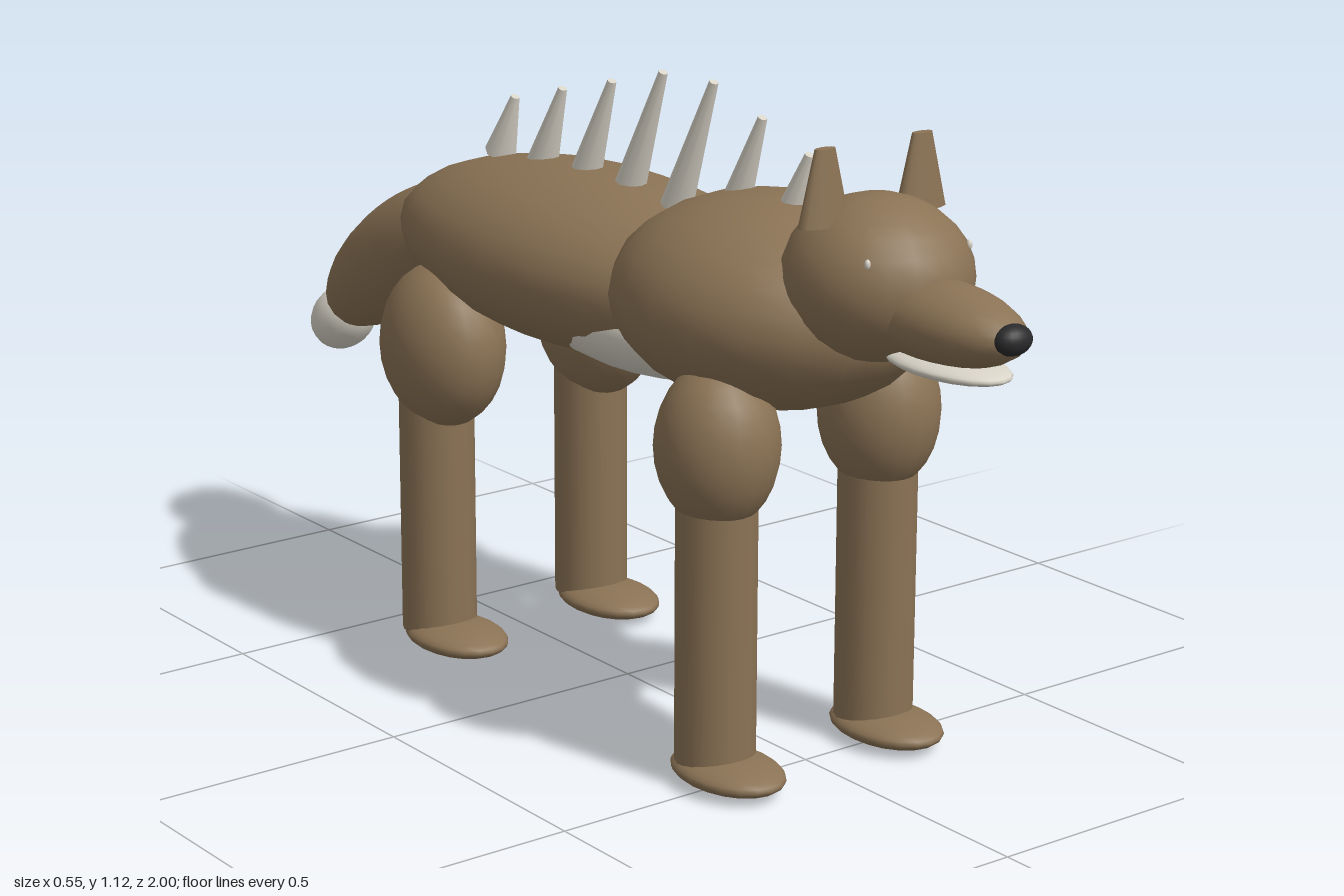
import * as THREE from 'three';

const material = (name, color) => {
  const m = new THREE.MeshStandardMaterial({ color });
  m.name = name;
  return m;
};

export function createModel() {
  const fur = material('brown fur', 0x8b7355);
  const pale = material('pale fur and bone', 0xd9d4c8);
  const dark = material('dark nose', 0x2a2a2c);
  const model = new THREE.Group();
  model.name = 'spinedWolf';

  const add = (name, geometry, mat, [x, y, z], tilt = 0) => {
    const mesh = new THREE.Mesh(geometry, mat);
    mesh.name = name;
    mesh.position.set(x, y, z);
    mesh.rotation.x = tilt;
    model.add(mesh);
    return mesh;
  };
  // Smooth ellipsoid with the given centre and radii
  const blob = (name, mat, centre, radii, tilt = 0, segments = 20) =>
    add(name, new THREE.SphereGeometry(1, segments, 14).scale(...radii), mat, centre, tilt);

  // Trunk
  blob('body', fur, [0, 0.755, -0.1], [0.24, 0.155, 0.5], 0, 24);
  blob('chest', fur, [0, 0.785, 0.4], [0.257, 0.175, 0.3]);
  blob('belly', pale, [0, 0.7, 0.11], [0.19, 0.102, 0.31]);

  // Head
  blob('head', fur, [0, 0.875, 0.66], [0.154, 0.135, 0.16]);
  blob('muzzle', fur, [0, 0.836, 0.81], [0.085, 0.065, 0.18]);
  blob('lowerJaw', pale, [0, 0.77, 0.83], [0.07, 0.018, 0.13]);
  blob('nose', dark, [0, 0.841, 0.975], [0.035, 0.025, 0.025]);

  // Tail, sloping down to a pale tip
  const slope = -0.62;
  blob('tail', fur, [0, 0.628, -0.715], [0.1, 0.098, 0.265], slope);
  blob('tailTip', pale, [0, 0.46, -0.927], [0.06, 0.06, 0.08], slope);

  for (const [side, s] of [['left', 1], ['right', -1]]) {
    // Flattened, blunt ears and small eyes
    const ear = new THREE.CylinderGeometry(0.02, 0.05, 0.123, 12).scale(1, 1, 0.45);
    add(`${side}Ear`, ear, fur, [s * 0.1, 1.031, 0.645]);
    blob(`${side}Eye`, pale, [s * 0.105, 0.93, 0.757], [0.005, 0.008, 0.005], 0, 10);

    // Legs
    const x = s * 0.172;
    const legs = [
      { end: 'Front', upper: [0.58, 0.472], radii: [0.103, 0.14, 0.107], shin: 0.472, paw: 0.507 },
      { end: 'Rear', upper: [0.57, -0.322], radii: [0.103, 0.15, 0.135], shin: -0.345, paw: -0.29 },
    ];
    for (const { end, upper, radii, shin, paw } of legs) {
      blob(`${side}${end}UpperLeg`, fur, [x, ...upper], radii);
      add(`${side}${end}LowerLeg`, new THREE.CylinderGeometry(0.068, 0.068, 0.52, 20), fur, [x, 0.29, shin]);
      blob(`${side}${end}Paw`, fur, [x, 0.027, paw], [0.081, 0.027, 0.117]);
    }
  }

  // Back spines leaning forward: tip y, tip z, length
  const lean = 0.41;
  const spines = [
    [1.04, 0.488, 0.14], [1.08, 0.367, 0.2], [1.118, 0.238, 0.26], [1.112, 0.1, 0.25],
    [1.073, -0.045, 0.2], [1.036, -0.19, 0.16], [0.997, -0.335, 0.12],
  ];
  spines.forEach(([y, z, length], i) => {
    const spine = new THREE.CylinderGeometry(0.008, 0.029, length, 8).translate(0, -length / 2, 0);
    add(`backSpine${i + 1}`, spine, pale, [0, y, z], lean);
  });

  return model;
}
